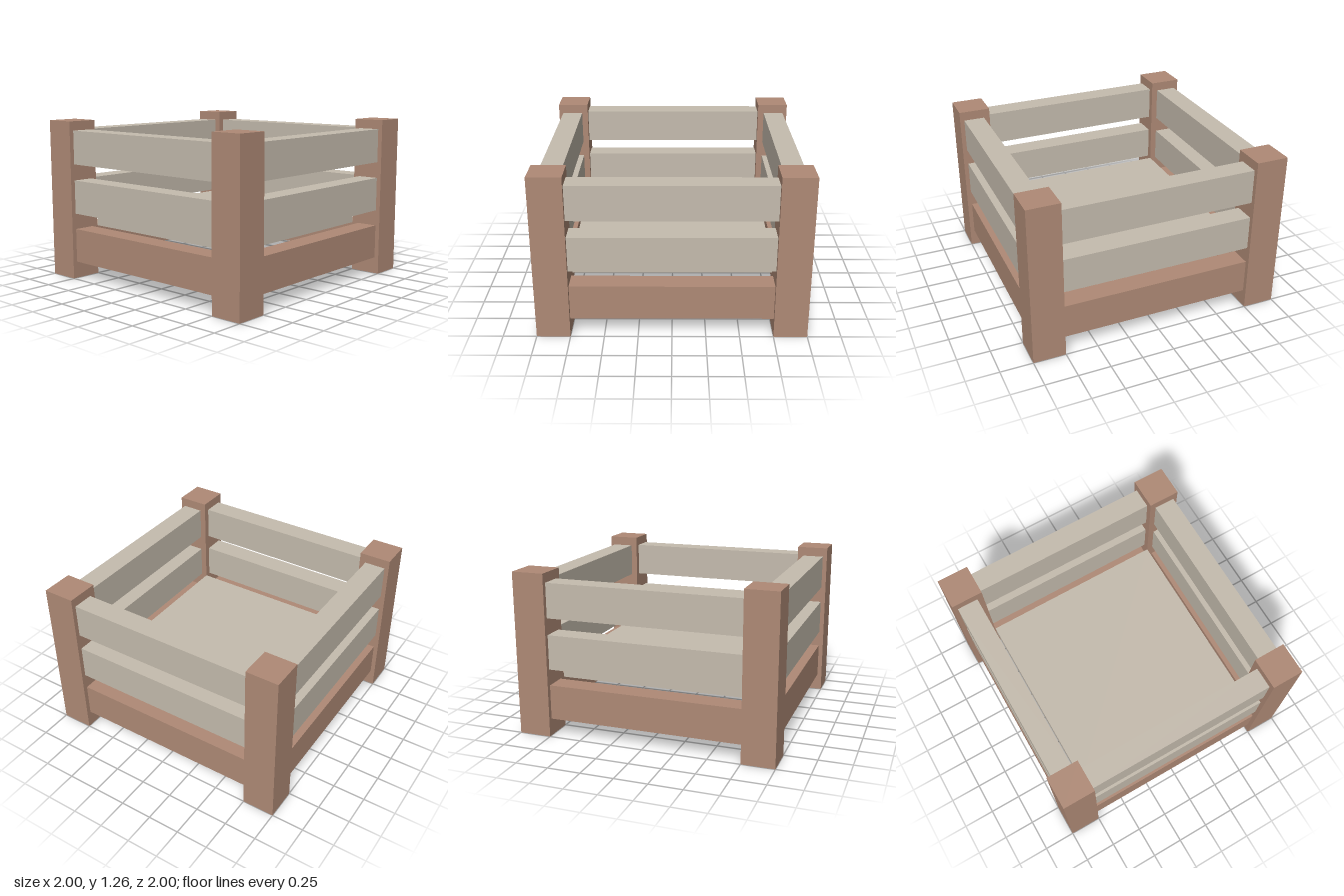
import * as THREE from 'three';

export function createModel() {
  const crate = new THREE.Group();
  crate.name = 'slattedCrate';

  const brown = new THREE.MeshStandardMaterial({ color: 0xaf8a76 });
  brown.name = 'brownWood';
  const beige = new THREE.MeshStandardMaterial({ color: 0xc5bcae });
  beige.name = 'paleWood';

  // Box spanning y0..y1, centred on x and z
  function addBox(parent, name, w, d, y0, y1, x, z, material) {
    const mesh = new THREE.Mesh(new THREE.BoxGeometry(w, y1 - y0, d), material);
    mesh.name = name;
    mesh.position.set(x, (y0 + y1) / 2, z);
    parent.add(mesh);
  }

  // Corner posts
  for (const x of [-1, 1]) {
    for (const z of [-1, 1]) {
      const name = (z > 0 ? 'front' : 'back') + (x > 0 ? 'Left' : 'Right') + 'Post';
      addBox(crate, name, 0.25, 0.25, 0, 1.26, x * 0.875, z * 0.875, brown);
    }
  }

  // Each side: a brown bottom rail and two pale slats between the posts
  ['front', 'left', 'back', 'right'].forEach((side, i) => {
    const wall = new THREE.Group();
    wall.name = side + 'Wall';
    wall.rotation.y = i * Math.PI / 2;
    addBox(wall, 'bottomRail', 1.5, 0.166, 0.133, 0.4, 0, 0.882, brown);
    addBox(wall, 'middleSlat', 1.5, 0.166, 0.525, 0.792, 0, 0.882, beige);
    addBox(wall, 'topSlat', 1.5, 0.166, 0.92, 1.187, 0, 0.882, beige);
    crate.add(wall);
  });

  // Raised floor panel
  addBox(crate, 'floorPanel', 1.495, 1.495, 0.4, 0.525, 0, 0, beige);

  return crate;
}
